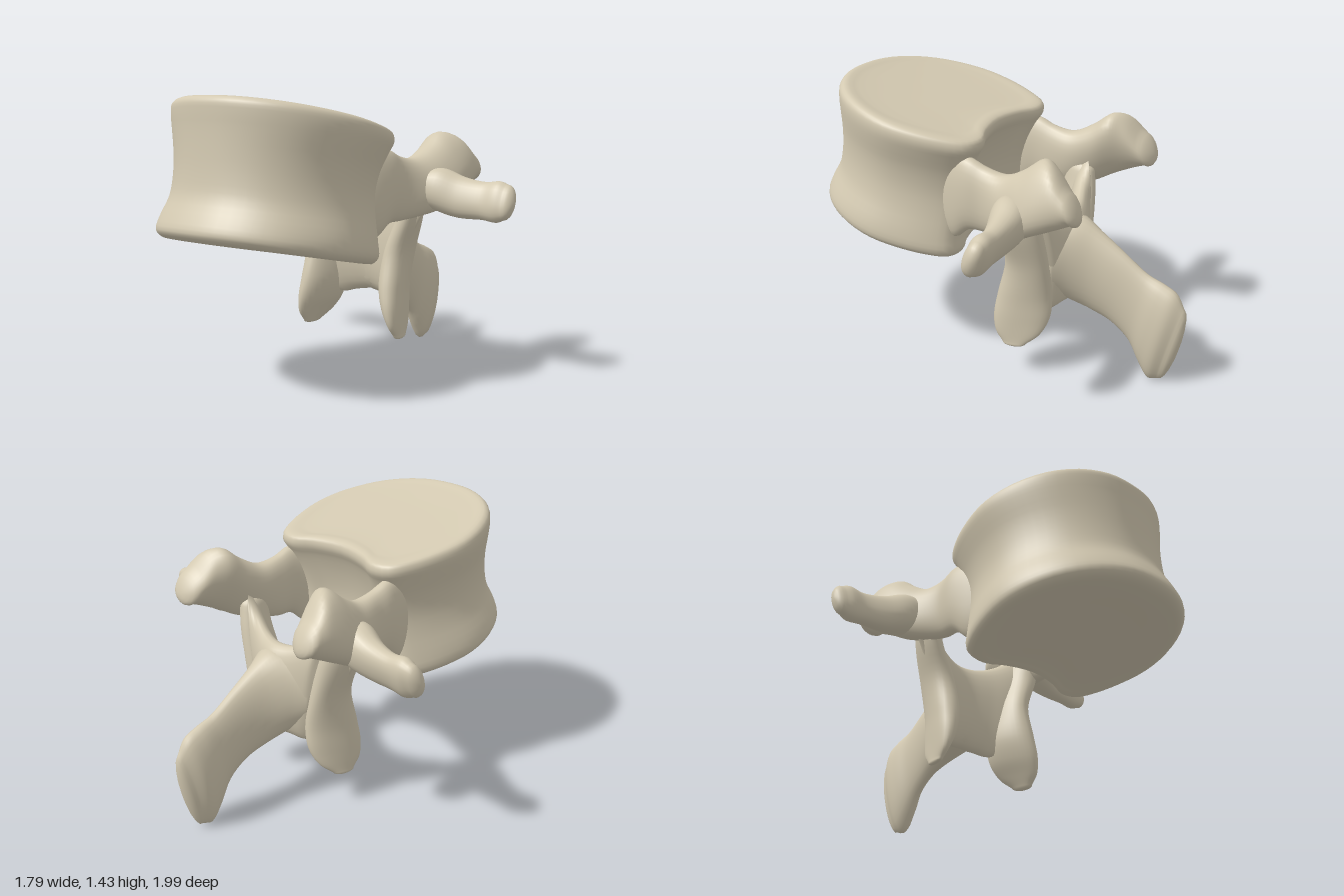
import * as THREE from 'three';

const V = (x, y, z) => new THREE.Vector3(x, y, z);
const bone = new THREE.MeshStandardMaterial({ color: 0xd3c9b1 });
bone.name = 'bone';

// Closed smooth skin over rings of points; poles close both ends
function skin(rings, startPole, endPole) {
  const n = rings[0].length, pos = [], idx = [];
  rings.forEach(r => r.forEach(p => pos.push(p.x, p.y, p.z)));
  const a0 = rings.length * n, a1 = a0 + 1, last = (rings.length - 1) * n;
  pos.push(...startPole.toArray(), ...endPole.toArray());
  for (let j = 0; j < n; j++) {
    const k = (j + 1) % n;
    for (let i = 0; i < rings.length - 1; i++) {
      const a = i * n + j, b = i * n + k;
      idx.push(a, b, a + n, b, b + n, a + n);
    }
    idx.push(a0, k, j, a1, last + j, last + k);
  }
  // Turn the faces outward if the enclosed volume comes out negative
  let vol = 0;
  const at = i => V(pos[i * 3], pos[i * 3 + 1], pos[i * 3 + 2]);
  for (let i = 0; i < idx.length; i += 3) vol += at(idx[i]).dot(at(idx[i + 1]).cross(at(idx[i + 2])));
  if (vol < 0) idx.reverse();
  const g = new THREE.BufferGeometry();
  g.setAttribute('position', new THREE.Float32BufferAttribute(pos, 3));
  g.setIndex(idx);
  g.computeVertexNormals();
  return g;
}

// Adds smooth in-between rings, column by column
function refine(rings, steps) {
  const total = (rings.length - 1) * steps;
  const cols = rings[0].map((_, j) => new THREE.CatmullRomCurve3(rings.map(r => r[j])));
  return Array.from({ length: total + 1 }, (_, i) => cols.map(c => c.getPoint(i / total)));
}

const centreOf = ring => ring.reduce((s, p) => s.add(p), V(0, 0, 0)).divideScalar(ring.length);

// Bone strut: sections are [centre, half axis a, half axis b], with domed ends; side mirrors x
function strut(sections, side = 1, power = 0.9) {
  const round = t => Math.sign(t) * Math.abs(t) ** power;
  const rings = refine(sections.map(([c, a, b]) => Array.from({ length: 28 }, (_, j) => {
    const t = j / 28 * Math.PI * 2, u = round(Math.cos(t)), v = round(Math.sin(t));
    return V((c[0] + a[0] * u + b[0] * v) * side, c[1] + a[1] * u + b[1] * v, c[2] + a[2] * u + b[2] * v);
  })), 5);
  const dome = (ring, before, [, a, b]) => {
    const c = centreOf(ring), d = c.clone().sub(centreOf(before)).normalize();
    const h = Math.min(Math.hypot(...a), Math.hypot(...b), 0.06);
    const caps = [1, 2, 3, 4].map(k => {
      const t = k * Math.PI / 10;
      return ring.map(p => p.clone().sub(c).multiplyScalar(Math.cos(t)).add(c).addScaledVector(d, h * Math.sin(t)));
    });
    return { caps, pole: c.clone().addScaledVector(d, h) };
  };
  const m = rings.length, s = dome(rings[0], rings[1], sections[0]);
  const e = dome(rings[m - 1], rings[m - 2], sections[sections.length - 1]);
  return skin([...s.caps.reverse(), ...rings, ...e.caps], s.pole, e.pole);
}

// Vertebral body: kidney outline stacked on tilted planes with a narrowed waist
function bodyGeometry() {
  const half = [[0, 0.88], [0.15, 0.865], [0.3, 0.8], [0.42, 0.69], [0.5, 0.54], [0.53, 0.38], [0.505, 0.22],
    [0.45, 0.08], [0.39, 0], [0.29, -0.02], [0.18, 0.02], [0, 0.05]];
  const mirrored = half.slice(1, -1).reverse().map(([x, z]) => [-x, z]);
  const outline = new THREE.CatmullRomCurve3([...half, ...mirrored].map(([x, z]) => V(x, 0, z)), true).getPoints(66).slice(0, -1);
  // Levels: front height, back height, width factor, front z, back z
  const levels = [
    [0.735, 0.66, 0.35, 0.75, 0.38], [0.765, 0.625, 0.8, 0.92, 0.19], [0.785, 0.605, 0.94, 0.975, 0.13],
    [0.82, 0.635, 0.995, 1.0, 0.1], [0.88, 0.71, 0.985, 0.975, 0.1], [0.97, 0.83, 0.925, 0.925, 0.09],
    [1.07, 0.94, 0.9, 0.905, 0.08], [1.18, 1.05, 0.92, 0.895, 0.05], [1.29, 1.14, 0.975, 0.89, 0.01],
    [1.36, 1.19, 1.0, 0.89, -0.02], [1.405, 1.23, 0.985, 0.885, -0.015], [1.425, 1.245, 0.93, 0.855, 0.02],
    [1.405, 1.25, 0.8, 0.79, 0.08], [1.35, 1.295, 0.3, 0.57, 0.31]];
  const rings = refine(levels.map(([yF, yB, w, zF, zB]) => outline.map(p => {
    const u = (p.z + 0.02) / 0.9;
    return V(p.x * w, THREE.MathUtils.lerp(yB, yF, u), THREE.MathUtils.lerp(zB, zF, u));
  })), 3);
  return skin(rings, centreOf(rings[0]), centreOf(rings[rings.length - 1]));
}

// Pedicle running back into the upper joint, whose top leans inward
const pedicle = [
  [[0.32, 0.94, 0.2], [0, 0.2, 0], [0.05, 0, 0]],
  [[0.345, 0.945, 0.1], [0, 0.22, 0], [0.06, 0, 0]],
  [[0.36, 0.975, 0.01], [0, 0.185, 0], [0.062, 0, 0]],
  [[0.36, 0.96, -0.08], [0, 0.165, 0], [0.065, 0, 0]],
  [[0.38, 0.96, -0.19], [-0.02, 0.15, 0], [0.085, 0.01, 0]],
  [[0.41, 1.0, -0.3], [-0.05, 0.16, 0], [0.1, 0.03, 0]],
  [[0.425, 1.06, -0.4], [-0.07, 0.165, 0], [0.095, 0.045, 0]],
  [[0.44, 1.08, -0.49], [-0.05, 0.13, 0.03], [0.09, 0.04, 0]],
  [[0.45, 1.05, -0.56], [-0.025, 0.075, 0.02], [0.085, 0.03, 0]]];

// Side wing with a slightly swollen tip
const transverse = [
  [[0.4, 0.96, -0.27], [0, 0.09, 0], [0, 0, 0.09]],
  [[0.5, 0.945, -0.28], [0, 0.11, -0.02], [0, 0.02, 0.095]],
  [[0.61, 0.915, -0.29], [0, 0.1, -0.03], [0, 0.02, 0.07]],
  [[0.73, 0.905, -0.3], [0, 0.09, -0.03], [0, 0.02, 0.052]],
  [[0.81, 0.905, -0.3], [0, 0.098, -0.03], [0, 0.02, 0.055]],
  [[0.85, 0.905, -0.3], [0, 0.085, -0.03], [0, 0.015, 0.045]]];

// Lower joint hanging from the arch
const inferior = [
  [[0.35, 0.92, -0.24], [0.02, 0, 0.09], [0.06, 0, 0]],
  [[0.32, 0.8, -0.25], [0.02, 0, 0.1], [0.065, 0, 0]],
  [[0.26, 0.62, -0.25], [0.02, 0, 0.11], [0.065, 0, -0.02]],
  [[0.24, 0.44, -0.23], [0.045, 0, 0.13], [0.065, 0, -0.03]],
  [[0.255, 0.32, -0.22], [0.045, 0, 0.135], [0.052, 0, -0.025]],
  [[0.28, 0.235, -0.21], [0.03, 0, 0.11], [0.032, 0, -0.015]],
  [[0.298, 0.18, -0.2], [0.01, 0, 0.06], [0.02, 0, 0]]];

// Arch plate, from one pedicle to the midline
const archHalf = [
  [[0.38, 0.95, -0.25], [0, 0.13, 0], [0.07, 0, 0.03]],
  [[0.3, 0.79, -0.275], [0.03, 0.2, 0], [0.05, 0, 0.07]],
  [[0.2, 0.62, -0.305], [0.025, 0.275, 0], [0.025, 0, 0.08]],
  [[0.1, 0.6, -0.345], [0.01, 0.245, 0], [0.015, 0, 0.08]],
  [[0, 0.6, -0.37], [0, 0.235, 0], [0, 0, 0.08]]];
const otherHalf = archHalf.slice(0, -1).reverse().map(section =>
  section.map(([x, y, z]) => [-x, y, z]));

// Rear spine: top z, y, bottom z, y, half width
const spinous = [
  [-0.36, 0.81, -0.34, 0.38, 0.22], [-0.43, 0.8, -0.41, 0.345, 0.155], [-0.52, 0.75, -0.5, 0.31, 0.1],
  [-0.65, 0.665, -0.6, 0.27, 0.068], [-0.78, 0.575, -0.7, 0.19, 0.06], [-0.87, 0.54, -0.765, 0.075, 0.074],
  [-0.935, 0.505, -0.82, 0, 0.075], [-0.98, 0.43, -0.87, 0.01, 0.048]
].map(([tz, ty, bz, by, w]) => [[0, (ty + by) / 2, (tz + bz) / 2], [0, (ty - by) / 2, (tz - bz) / 2], [w, 0, 0]]);

export function createModel() {
  const model = new THREE.Group();
  model.name = 'lumbarVertebra';
  const add = (name, geometry) => {
    const mesh = new THREE.Mesh(geometry, bone);
    mesh.name = name;
    model.add(mesh);
  };
  add('vertebralBody', bodyGeometry());
  add('archPlate', strut([...archHalf, ...otherHalf]));
  add('rearSpine', strut(spinous, 1, 1));
  for (const [label, side] of [['left', 1], ['right', -1]]) {
    add(label + 'PedicleAndUpperJoint', strut(pedicle, side));
    add(label + 'SideWing', strut(transverse, side));
    add(label + 'LowerJoint', strut(inferior, side));
  }
  return model;
}
